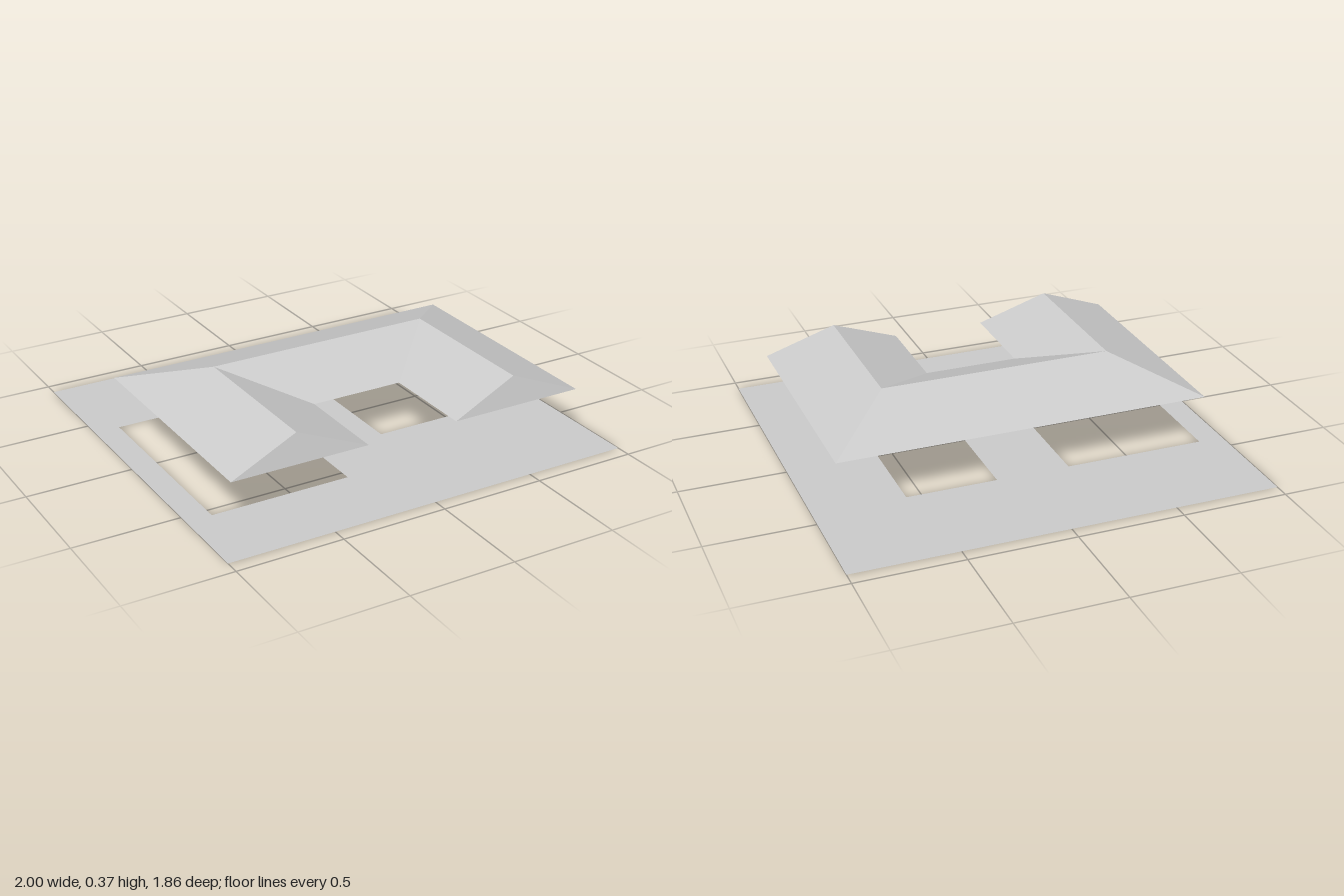
import * as THREE from 'three';

const grey = new THREE.MeshStandardMaterial({ color: 0xcccccc, side: THREE.DoubleSide });
grey.name = 'plain grey';

// Flat ground sheet with two rectangular openings, [x0, x1, z0, z1]
function makeGround() {
  const rect = (path, [x0, x1, z0, z1]) => {
    path.moveTo(x0, -z1);
    path.lineTo(x1, -z1);
    path.lineTo(x1, -z0);
    path.lineTo(x0, -z0);
    path.closePath();
    return path;
  };
  const sheet = rect(new THREE.Shape(), [-1, 1, -0.93, 0.93]);
  for (const hole of [[-0.88, -0.21, -0.415, 0.547], [0.14, 0.57, -0.415, 0.265]]) {
    sheet.holes.push(rect(new THREE.Path(), hole));
  }
  const mesh = new THREE.Mesh(new THREE.ShapeGeometry(sheet).rotateX(-Math.PI / 2), grey);
  mesh.name = 'ground';
  return mesh;
}

// U-shaped hipped roof, open below: outer eave, ridge and inner eave at each station
function makeRoof() {
  const eave = 0.245, ridge = 0.373;
  const station = (outer, top, inner) => [
    new THREE.Vector3(outer[0], eave, outer[1]),
    new THREE.Vector3(top[0], ridge, top[1]),
    new THREE.Vector3(inner[0], eave, inner[1]),
  ];
  const stations = [
    station([-0.88, 0.735], [-0.55, 0.695], [-0.22, 0.735]),
    station([-0.88, -0.44], [-0.55, -0.065], [-0.22, 0.27]),
    station([0.89, -0.44], [0.56, -0.065], [0.23, 0.27]),
    station([0.89, 0.735], [0.56, 0.695], [0.23, 0.735]),
  ];
  const points = [];
  // Outer and inner slopes of the three wings
  for (let i = 0; i < 3; i++) {
    for (let j = 0; j < 2; j++) {
      const a = stations[i][j], b = stations[i + 1][j];
      const c = stations[i + 1][j + 1], d = stations[i][j + 1];
      points.push(a, c, b, a, d, c);
    }
  }
  // Leaning end triangles of the two front wings
  const [l, r] = [stations[0], stations[3]];
  points.push(l[0], l[2], l[1], r[2], r[0], r[1]);

  const geometry = new THREE.BufferGeometry().setFromPoints(points);
  geometry.computeVertexNormals();
  const mesh = new THREE.Mesh(geometry, grey);
  mesh.name = 'roof';
  return mesh;
}

export function createModel() {
  const model = new THREE.Group();
  model.name = 'courtyardRoof';
  model.add(makeGround(), makeRoof());
  return model;
}
